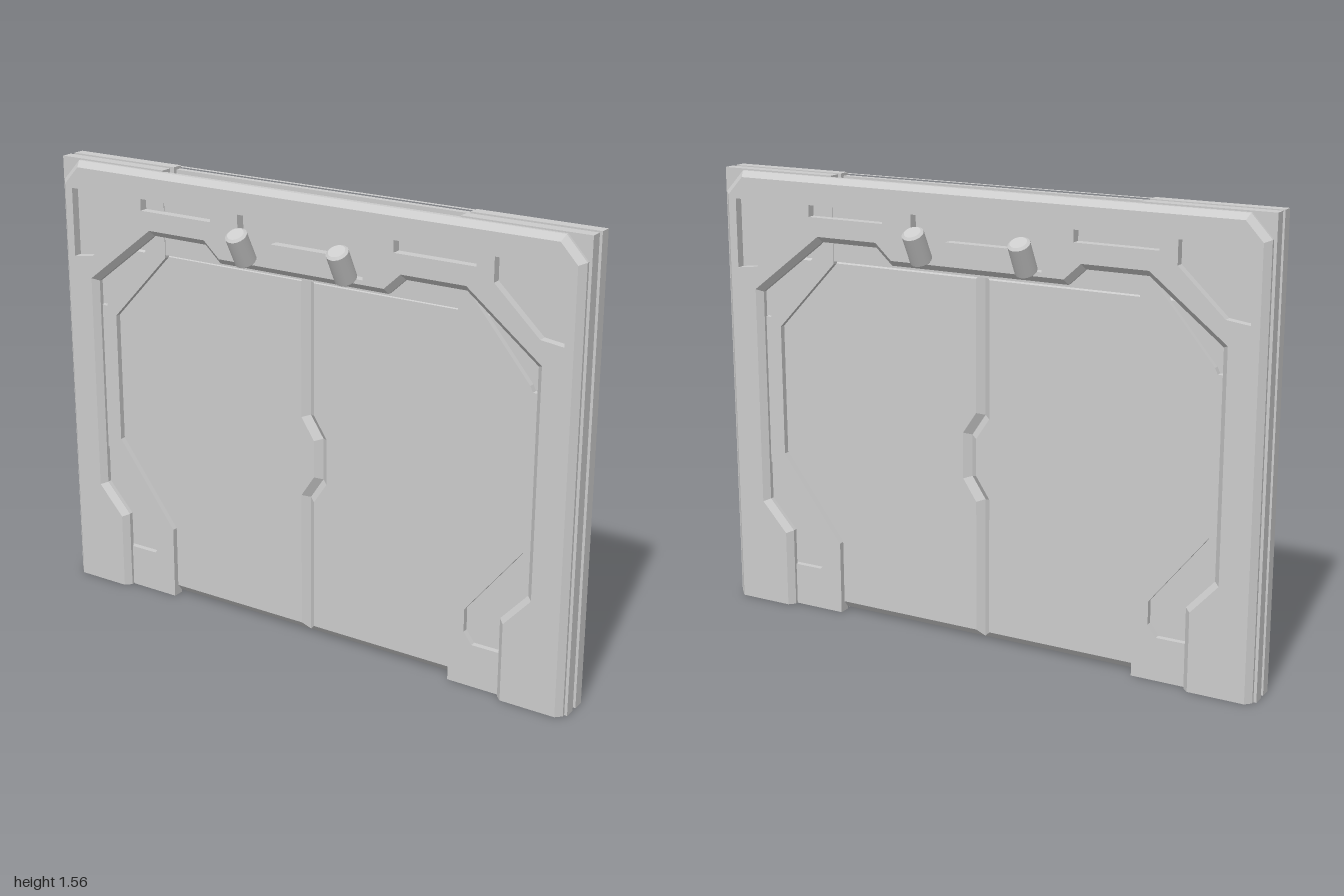
import * as THREE from 'three';
import { mergeGeometries, toCreasedNormals } from 'three/addons/utils/BufferGeometryUtils.js';

const material = new THREE.MeshStandardMaterial({ color: 0xcccccc });
const mirrorX = (pts) => pts.map(([x, y]) => [-x, y]).reverse();
const toVectors = (pts) => pts.map(([x, y]) => new THREE.Vector2(x, y));

function addMesh(parent, name, geometry) {
  const mesh = new THREE.Mesh(geometry, material);
  mesh.name = name;
  parent.add(mesh);
  return mesh;
}

// Move a counter-clockwise outline inwards by d; points on the ground stay there
function inset(pts, d) {
  const n = pts.length;
  const normal = (a, b) => {
    const l = Math.hypot(b[0] - a[0], b[1] - a[1]);
    return [-(b[1] - a[1]) / l, (b[0] - a[0]) / l];
  };
  return pts.map((p, i) => {
    const u = normal(pts[(i + n - 1) % n], p);
    const v = normal(p, pts[(i + 1) % n]);
    const k = d / (1 + u[0] * v[0] + u[1] * v[1]);
    return [p[0] + k * (u[0] + v[0]), p[1] === 0 ? 0 : p[1] + k * (u[1] + v[1])];
  });
}

// Wall between two matching loops at two depths
function skirt(a, za, b, zb) {
  const pos = [];
  a.forEach((p, i) => {
    const j = (i + 1) % a.length;
    const A = [...p, za], B = [...a[j], za], C = [...b[j], zb], D = [...b[i], zb];
    pos.push(...A, ...B, ...C, ...A, ...C, ...D);
  });
  const g = new THREE.BufferGeometry();
  g.setAttribute('position', new THREE.Float32BufferAttribute(pos, 3));
  g.computeVertexNormals();
  return g;
}

// Plate from z0 to z1 with an optional bevel around its front edge
function plate(outline, z0, z1, holes = [], bevel = 0, bevelDepth = bevel) {
  const front = bevel ? inset(outline, bevel) : outline;
  const shape = new THREE.Shape(toVectors(front));
  holes.forEach((h) => shape.holes.push(new THREE.Path(toVectors(h))));
  const body = new THREE.ExtrudeGeometry(shape, { depth: z1 - z0, bevelEnabled: false });
  body.translate(0, 0, z0);
  if (!bevel) return body;
  body.deleteAttribute('uv');
  const zb = z1 - bevelDepth;
  return mergeGeometries([body, skirt(outline, z0, outline, zb), skirt(outline, zb, front, z1)]);
}

function box(x, y0, y1, z0, z1) {
  const g = new THREE.BoxGeometry(2 * x, y1 - y0, z1 - z0);
  return g.translate(0, (y0 + y1) / 2, (z0 + z1) / 2);
}

function buildFace() {
  const face = new THREE.Group();

  // Outer arch with recessed windows
  const half = [[0.325, 1.28], [0.385, 1.335], [0.6, 1.335], [0.85, 1.14], [0.85, 0.385],
    [0.755, 0.28], [0.755, 0], [0.99, 0], [0.99, 1.48], [0.92, 1.555]];
  const corner = [[0.94, 1.46], [0.7, 1.46], [0.7, 1.38], [0.86, 1.23], [0.94, 1.22]];
  const slot = [[0.35, 1.42], [0.64, 1.42], [0.64, 1.46], [0.35, 1.46]];
  const centre = [[-0.24, 1.46], [-0.24, 1.315], [-0.17, 1.315], [-0.11, 1.38],
    [0.11, 1.38], [0.17, 1.315], [0.24, 1.315], [0.24, 1.46]];
  const windows = [corner, mirrorX(corner), slot, mirrorX(slot), centre];
  addMesh(face, 'outerFrame', plate([...half, ...mirrorX(half)], 0.045, 0.08, windows, 0.02));

  // Inner side frames with corner pockets
  const side = [[0.565, 0], [1, 0], [1, 1.56], [0.565, 1.56], [0.565, 1.26],
    [0.79, 1.02], [0.79, 0.56], [0.565, 0.26]];
  const lowPocket = [[0.72, 0.15], [0.65, 0.15], [0.62, 0.19], [0.62, 0.27], [0.82, 0.52],
    [0.88, 0.52], [0.88, 0.36], [0.77, 0.25], [0.77, 0.15]];
  const highPocket = [[0.87, 1.05], [0.83, 1.05], [0.82, 1.07], [0.61, 1.32], [0.61, 1.34], [0.87, 1.15]];
  const pockets = [lowPocket, highPocket];
  addMesh(face, 'leftInnerFrame', plate(side, 0.01, 0.05, pockets));
  addMesh(face, 'rightInnerFrame', plate(mirrorX(side), 0.01, 0.05, pockets.map(mirrorX)));

  // Lintel above the doors
  addMesh(face, 'lintel', box(0.57, 1.27, 1.55, 0.025, 0.047));
  addMesh(face, 'lintelBacking', box(0.95, 1.27, 1.535, 0.005, 0.035));

  // Two door leaves meeting in a zigzag seam
  const seam = [[0, 0.01], [0, 0.505], [0.05, 0.58], [0.05, 0.725], [0, 0.8], [0, 1.285]];
  const leftLeaf = [...[...seam].reverse(), [0.95, 0.01], [0.95, 1.285]];
  const rightLeaf = [...seam, [-0.95, 1.285], [-0.95, 0.01]];
  addMesh(face, 'leftDoor', plate(leftLeaf, 0.003, 0.03, [], 0.025, 0.02));
  addMesh(face, 'rightDoor', plate(rightLeaf, 0.003, 0.03, [], 0.025, 0.02));

  // Tilted lamps over the doorway
  const profile = [[0, -0.06], [0.03, -0.06], [0.037, -0.053], [0.037, 0.053], [0.028, 0.06], [0, 0.06]];
  const lampGeometry = toCreasedNormals(new THREE.LatheGeometry(toVectors(profile), 20), 0.5);
  for (const x of [-0.195, 0.19]) {
    const lamp = addMesh(face, 'lamp', lampGeometry);
    lamp.position.set(x, 1.365, 0.124);
    lamp.rotation.x = 0.5;
  }
  return face;
}

export function createModel() {
  const model = new THREE.Group();
  model.name = 'doubleDoor';

  // Thin core seen in the groove around the edge
  addMesh(model, 'core', box(0.975, 0.01, 1.535, -0.011, 0.011)).scale.z = 0.5;

  // Same face on both sides
  const front = buildFace();
  front.name = 'frontFace';
  const back = buildFace();
  back.name = 'backFace';
  back.scale.z = -1;
  model.add(front, back);
  return model;
}
